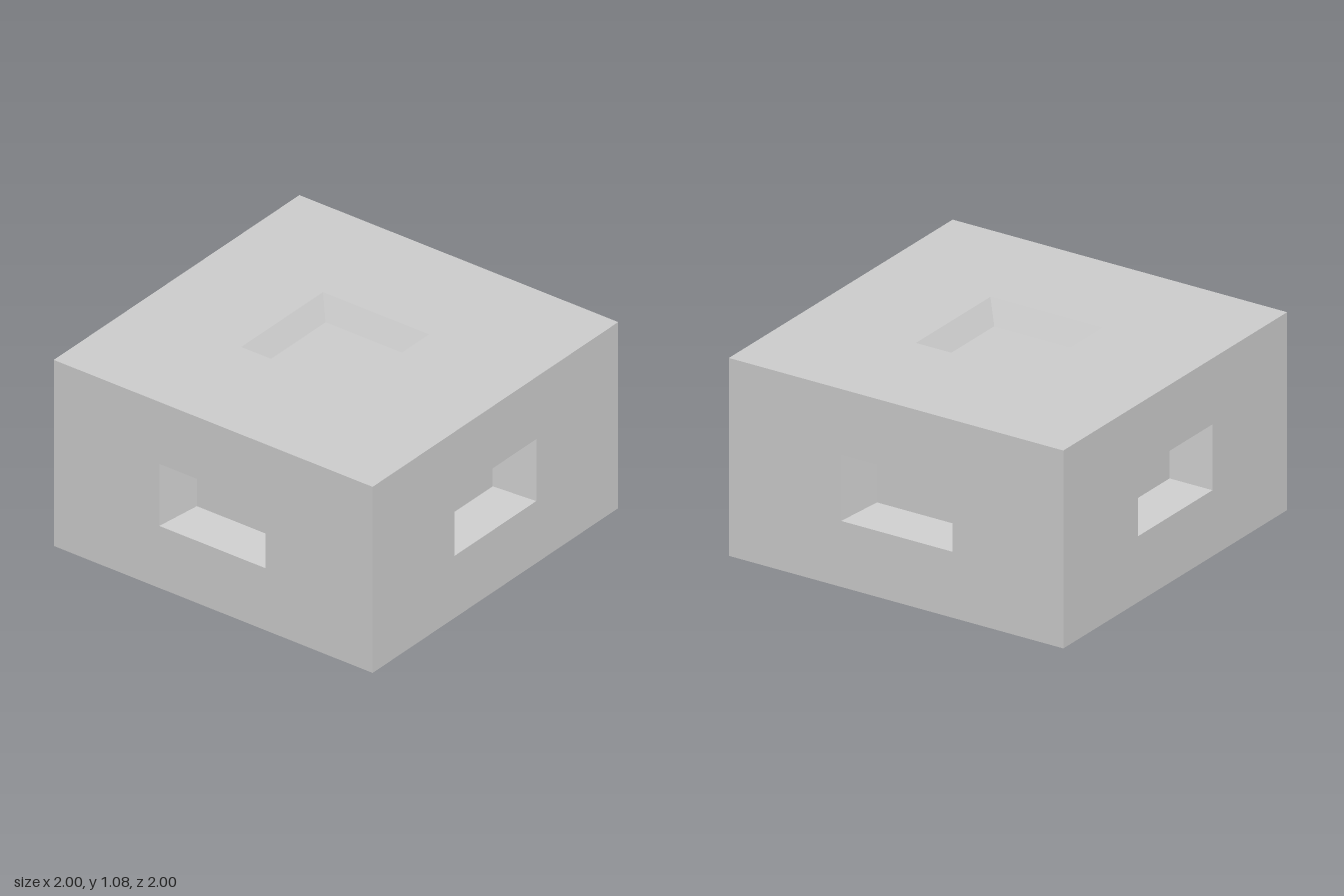
import * as THREE from 'three';

const HEIGHT = 1.08;
const OPENING = 0.333, FLOOR = 0.263, DEPTH = 0.215; // recess, on a cube of half-size 1
const SHIFT_Z = -0.005; // the recesses sit slightly behind centre

const material = new THREE.MeshStandardMaterial({ color: 0xcccccc, flatShading: true });

// One cube side facing +z: square frame, sloping recess walls and recess floor
function panelGeometry() {
  const ring = (h, z) => [[-h, -h, z], [h, -h, z], [h, h, z], [-h, h, z]];
  const rings = [ring(1, 1), ring(OPENING, 1), ring(FLOOR, 1 - DEPTH)];
  const positions = [];
  const quad = (a, b, c, d) => positions.push(...a, ...b, ...c, ...a, ...c, ...d);
  for (let r = 0; r < 2; r++) {
    for (let i = 0; i < 4; i++) {
      const j = (i + 1) % 4;
      quad(rings[r][i], rings[r][j], rings[r + 1][j], rings[r + 1][i]);
    }
  }
  quad(...rings[2]);
  const geometry = new THREE.BufferGeometry();
  geometry.setAttribute('position', new THREE.Float32BufferAttribute(positions, 3));
  return geometry;
}

export function createModel() {
  const group = new THREE.Group();
  group.name = 'recessedBlock';
  const q = Math.PI / 2;
  const sides = [
    ['frontPanel', 0, 0], ['leftPanel', 0, q], ['backPanel', 0, 2 * q],
    ['rightPanel', 0, -q], ['topPanel', -q, 0], ['bottomPanel', q, 0],
  ];
  for (const [name, rx, ry] of sides) {
    const geometry = panelGeometry().rotateX(rx).rotateY(ry);
    const p = geometry.attributes.position;
    for (let i = 0; i < p.count; i++) {
      if (Math.abs(p.getZ(i)) < 0.95) p.setZ(i, p.getZ(i) + SHIFT_Z);
    }
    // Squash the cube to the block's height and stand it on the ground
    geometry.scale(1, HEIGHT / 2, 1).translate(0, HEIGHT / 2, 0);
    geometry.computeVertexNormals();
    const mesh = new THREE.Mesh(geometry, material);
    mesh.name = name;
    group.add(mesh);
  }
  return group;
}
